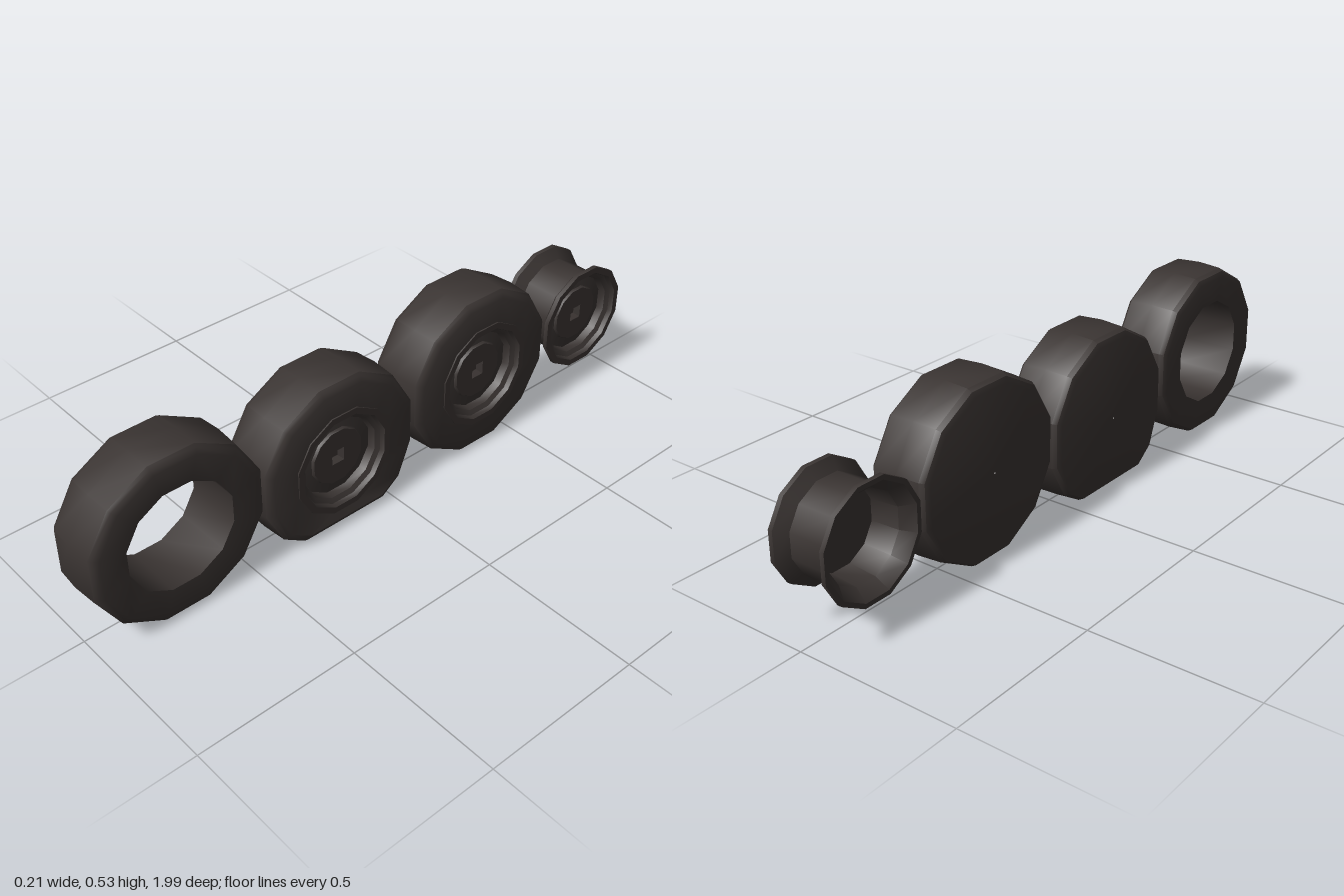
import * as THREE from 'three';
import { toCreasedNormals } from 'three/addons/utils/BufferGeometryUtils.js';

const SIDES = 12;
const CREASE = 0.58; // keeps the 12 facets smooth around, profile edges sharp
const rubber = new THREE.MeshStandardMaterial({ color: 0x3a3432 });
rubber.name = 'dark rubber';

// Revolve a (radius, x) profile around the x axle
function turn(profile, sides = SIDES) {
  const points = profile.map(([r, x]) => new THREE.Vector2(r, x));
  return new THREE.LatheGeometry(points, sides, Math.PI / sides).rotateZ(-Math.PI / 2);
}

function part(name, geometry, crease = CREASE) {
  const mesh = new THREE.Mesh(toCreasedNormals(geometry, crease), rubber);
  mesh.name = name;
  return mesh;
}

// Crowned tread with chamfered shoulders, from the -x side to the +x side
const TREAD = [
  [0.246, -0.093], [0.262, -0.087], [0.27, -0.073], [0.275, 0],
  [0.27, 0.08], [0.262, 0.089], [0.246, 0.096],
];

// Press the bottom of a tire flat so that it spreads sideways
function squash(geometry) {
  const p = geometry.attributes.position;
  for (let i = 0; i < p.count; i++) {
    const x = p.getX(i), y = p.getY(i), z = p.getZ(i);
    const r = Math.hypot(y, z);
    if (r < 0.22) continue;
    const t = THREE.MathUtils.clamp((-y / r - 0.259) / 0.707, 0, 1);
    p.setXYZ(i, x * (1 + 0.13 * t), y + 0.045 * t * t, z * (1 + 1.07 * t ** 5));
  }
  return geometry;
}

// Open tire ring
function ringTire() {
  const geometry = turn([
    [0.166, 0.092], [0.166, -0.09], ...TREAD, [0.166, 0.092],
  ]).scale(1, 1, 1.025);
  return part('tire', geometry);
}

// Tire closed on its inner side, with a pinhole in the middle
function closedTire(flat) {
  const geometry = turn([
    [0.003, -0.1], ...TREAD, [0.165, 0.099], [0.16, 0.02],
  ]).scale(1, 1, 1.025);
  return part('tire', flat ? squash(geometry) : geometry);
}

function rim() {
  const group = new THREE.Group();
  group.name = 'rim';
  const face = 0.062;

  // Flanged barrel and dished front, open at the back
  group.add(part('rimBarrel', turn([
    [0.158, -0.094], [0.172, -0.094], [0.172, -0.08], [0.138, -0.056],
    [0.138, 0.056], [0.172, 0.08], [0.172, 0.094], [0.152, 0.094],
    [0.147, 0.08], [0.132, 0.072], [0.126, 0.05], [0.093, 0.054], [0.089, face],
  ])));
  group.add(part('rimInside', turn([
    [0, 0.03], [0.12, 0.03], [0.128, -0.056], [0.158, -0.094],
  ].map(([r, x]) => [r, x]))));

  // Hub face with a square opening
  const disc = new THREE.Shape();
  for (let i = 0; i < SIDES; i++) {
    const a = (i + 0.5) * Math.PI * 2 / SIDES;
    disc[i ? 'lineTo' : 'moveTo'](0.089 * Math.cos(a), 0.089 * Math.sin(a));
  }
  disc.closePath();
  const h = 0.022;
  const hole = new THREE.Path();
  hole.moveTo(-h, -h).lineTo(-h, h).lineTo(h, h).lineTo(h, -h).closePath();
  disc.holes.push(hole);
  const hub = new THREE.ShapeGeometry(disc).rotateY(Math.PI / 2).translate(face, 0, 0);
  group.add(part('hubFace', hub));

  // Tapered square socket
  const q = h * Math.SQRT2;
  group.add(part('hubSocket', turn([
    [q, face], [q * 0.55, face - 0.018], [0, face - 0.018],
  ], 4), 0.3));
  return group;
}

function wheel(name, flat) {
  const group = new THREE.Group();
  group.name = name;
  const center = rim();
  center.position.x = 0.009;
  group.add(closedTire(flat), center);
  return group;
}

export function createModel() {
  const model = new THREE.Group();
  model.name = 'wheelSet';

  const looseTire = ringTire();
  looseTire.name = 'looseTire';
  looseTire.position.set(0, 0.266, 0.727);

  const flatWheel = wheel('flatWheel', true);
  flatWheel.position.set(0, 0.228, 0.182);

  const fullWheel = wheel('fullWheel', false);
  fullWheel.position.set(0, 0.266, -0.369);

  const bareRim = rim();
  bareRim.name = 'bareRim';
  bareRim.position.set(-0.009, 0.264, -0.829);

  model.add(looseTire, flatWheel, fullWheel, bareRim);
  return model;
}
